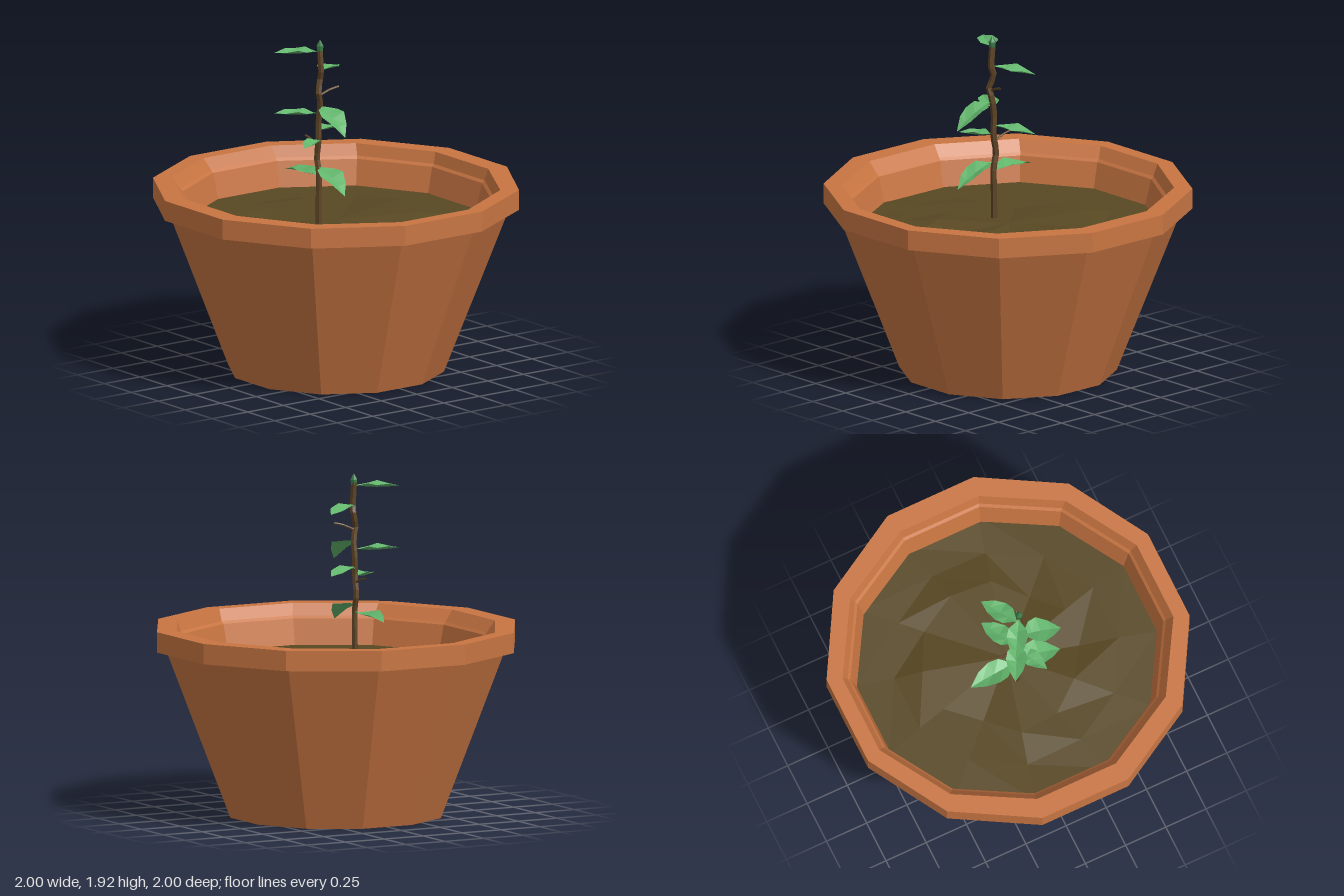
import * as THREE from 'three';

const mat = (name, color, side = THREE.FrontSide) => {
  const m = new THREE.MeshStandardMaterial({ color, flatShading: true, side });
  m.name = name;
  return m;
};

const V = (x, y, z) => new THREE.Vector3(x, y, z);
const APOTHEM = Math.cos(Math.PI / 12);

// Twelve-sided turned shape with flats facing the axes; points are [flat distance, y]
function turned(points) {
  const profile = points.map(([r, y]) => new THREE.Vector2(r / APOTHEM, y));
  return new THREE.LatheGeometry(profile, 12, Math.PI / 12);
}

// Move each vertex by a rule that knows its profile index and its segment
function reshape(geo, rows, rule) {
  const p = geo.attributes.position, v = V(0, 0, 0);
  for (let i = 0; i < p.count; i++) {
    v.fromBufferAttribute(p, i);
    rule(v, i % rows, Math.floor(i / rows) % 12);
    p.setXYZ(i, v.x, v.y, v.z);
  }
  geo.computeVertexNormals();
  return geo;
}

// Folded leaf: cross-sections of edge, midrib, edge along an arched line
function leafGeometry(base, tip, width, arch) {
  const side = V(tip.z - base.z, 0, base.x - tip.x).normalize();
  const sections = [[0, 0.03], [0.12, 0.2], [0.3, 0.85], [0.5, 1], [0.75, 0.66], [1, 0]];
  const pos = [], index = [];
  sections.forEach(([t, w], i) => {
    const c = base.clone().lerp(tip, t);
    c.y += arch * 4 * t * (1 - t);
    const half = w * width / 2;
    const wave = (i % 2 ? 1 : -1) * 0.006 * w;
    const l = c.clone().addScaledVector(side, half);
    const r = c.clone().addScaledVector(side, -half);
    l.y += 0.012 * w + wave;
    r.y += 0.012 * w - wave;
    c.y -= 0.012 * w;
    pos.push(...l.toArray(), ...c.toArray(), ...r.toArray());
    if (i === 0) return;
    const a = (i - 1) * 3, b = i * 3;
    for (let k = 0; k < 2; k++) {
      index.push(a + k, b + k, a + k + 1, b + k, b + k + 1, a + k + 1);
    }
  });
  const geo = new THREE.BufferGeometry();
  geo.setAttribute('position', new THREE.Float32BufferAttribute(pos, 3));
  geo.setIndex(index);
  geo.computeVertexNormals();
  return geo;
}

export function createModel() {
  const root = new THREE.Group();
  root.name = 'pottedSeedling';
  const terracotta = mat('terracotta', 0xc87542);
  const earth = mat('earth', 0x584823);
  const bark = mat('bark', 0x5e4426, THREE.DoubleSide);
  const green = mat('leafGreen', 0x62b56c, THREE.DoubleSide);
  const darkGreen = mat('budGreen', 0x3a7d48);

  const add = (name, geo, material, parent = root) => {
    const mesh = new THREE.Mesh(geo, material);
    mesh.name = name;
    parent.add(mesh);
    return mesh;
  };

  // Pot: base, tapered wall, overhanging rim and stepped inside, slightly uneven in depth
  const potProfile = [
    [0, 0], [0.59, 0], [0.945, 0.95], [1, 0.95], [1, 1.065],
    [0.915, 1.065], [0.88, 1.0], [0.865, 0.985], [0.82, 0.8],
  ];
  add('pot', reshape(turned(potProfile), potProfile.length, (v, row) => {
    if (row >= 5) v.z *= 0.967;
    if (row >= 6) v.z -= 0.015;
  }), terracotta);

  // Soil: shallow lumpy disc
  const soilProfile = [[0.835, 0.84], [0.62, 0.84], [0.42, 0.845], [0, 0.855]];
  const lumps = [0, 0.025, -0.01, 0.015, -0.02, 0.01, 0.02, -0.015, 0.02, 0, -0.02, 0.012];
  add('soil', reshape(turned(soilProfile), soilProfile.length, (v, row, seg) => {
    if (row === 1) v.y += lumps[(seg * 5 + 3) % 12] * 0.5;
    if (row === 2) {
      v.y += lumps[seg];
      const s = 1 + lumps[(seg * 7) % 12] * 5;
      v.x *= s;
      v.z *= s;
    }
    v.z -= 0.02;
  }), earth);

  // Plant
  const plant = new THREE.Group();
  plant.name = 'seedling';
  root.add(plant);

  const tube = (points, radius, steps) =>
    new THREE.TubeGeometry(new THREE.CatmullRomCurve3(points), steps, radius, 6);

  add('stem', tube([
    V(-0.005, 0.82, 0.12), V(-0.002, 1.02, 0.12), V(0, 1.15, 0.12), V(-0.018, 1.23, 0.12),
    V(0, 1.34, 0.122), V(-0.003, 1.44, 0.12), V(0.012, 1.55, 0.12), V(0.02, 1.62, 0.138),
    V(0.002, 1.68, 0.115), V(0.018, 1.73, 0.118), V(0.016, 1.79, 0.12), V(0.008, 1.87, 0.12),
  ], 0.018, 24), bark, plant);

  // Bare twigs
  add('twigBack', tube([V(0.015, 1.6, 0.12), V(0.028, 1.625, 0.07), V(0.045, 1.64, 0.015)], 0.007, 4), bark, plant);
  add('twigRight', tube([V(-0.01, 1.3, 0.12), V(-0.06, 1.325, 0.12), V(-0.125, 1.34, 0.12)], 0.006, 4), bark, plant);

  // Bud at the tip
  const bud = [[0, 1.845], [0.018, 1.855], [0.021, 1.885], [0, 1.92]];
  const budGeo = new THREE.LatheGeometry(bud.map(([r, y]) => new THREE.Vector2(r, y)), 6);
  budGeo.translate(0.01, 0, 0.12);
  add('bud', budGeo, darkGreen, plant);

  // Leaves: base, tip, width, arch
  const leaves = [
    ['leafLowLeft', V(0, 1.18, 0.12), V(0.26, 1.065, 0.135), 0.15, 0.032],
    ['leafLowRight', V(0, 1.125, 0.12), V(-0.3, 1.11, 0.14), 0.14, 0.025],
    ['leafMiddleLeft', V(0.015, 1.535, 0.12), V(0.265, 1.405, 0.135), 0.15, 0.032],
    ['leafLowFront', V(0, 1.34, 0.12), V(0.1, 1.335, 0.3), 0.1, 0.005],
    ['leafMiddleFront', V(0, 1.49, 0.12), V(-0.12, 1.5, 0.345), 0.12, 0.005],
    ['leafTopFront', V(0.01, 1.85, 0.12), V(-0.12, 1.85, 0.345), 0.12, 0.005],
    ['leafLowBack', V(0, 1.395, 0.12), V(-0.12, 1.365, -0.1), 0.12, 0.005],
    ['leafTopBack', V(0.015, 1.745, 0.12), V(-0.12, 1.715, -0.1), 0.12, 0.005],
  ];
  for (const [name, base, tip, width, arch] of leaves) {
    add(name, leafGeometry(base, tip, width, arch), green, plant);
  }
  return root;
}
